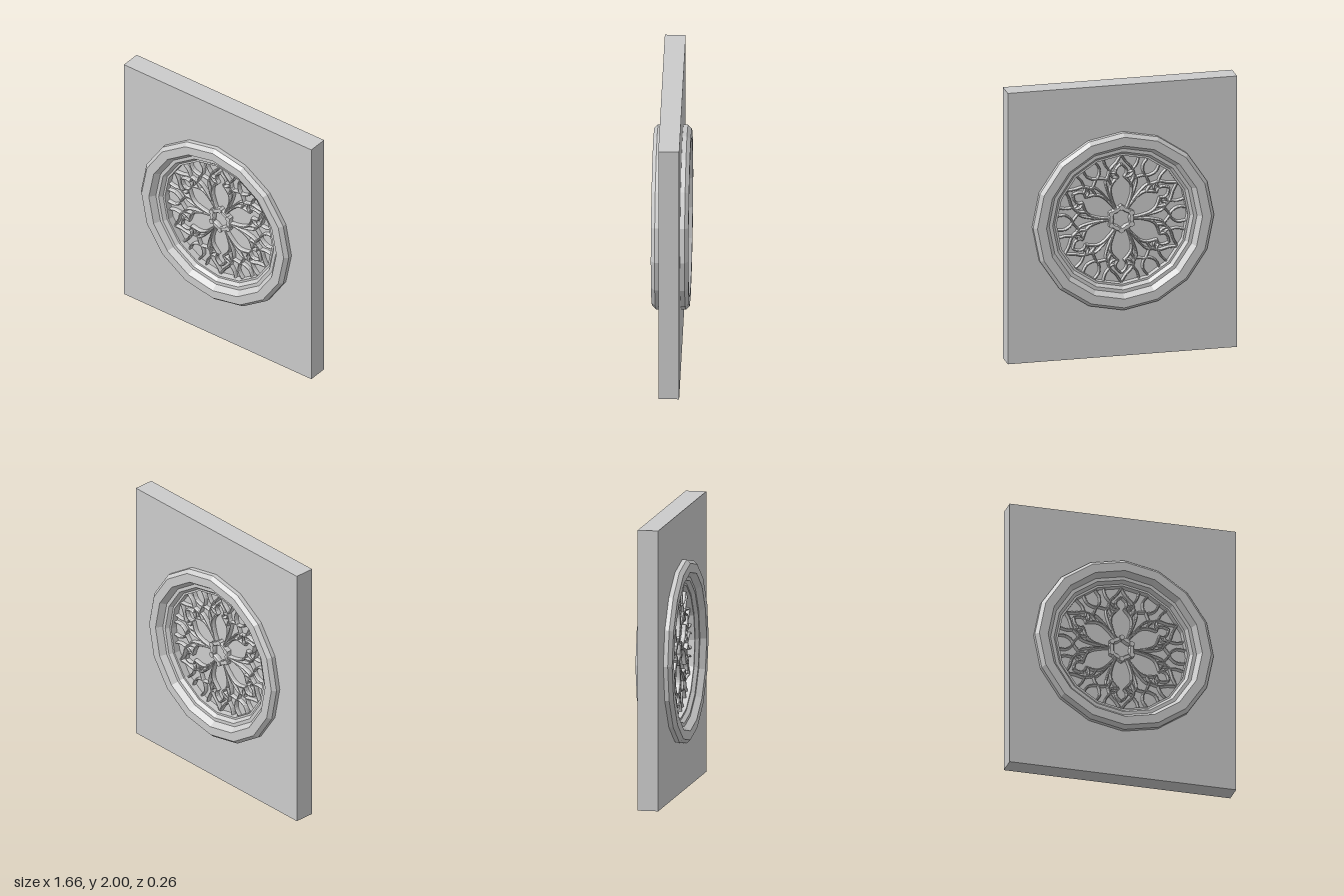
import * as THREE from 'three';

const SIDES = 16;
const CENTRE_Y = 1;
const stone = new THREE.MeshStandardMaterial({ color: 0xcccccc, flatShading: true });

function part(name, geometry, parent) {
  const mesh = new THREE.Mesh(geometry, stone);
  mesh.name = name;
  parent.add(mesh);
  return mesh;
}

// Corners of a regular polygon, starting at the top
function polygon(radius, sides, cusp = 1) {
  return Array.from({ length: sides }, (_, i) => {
    const a = Math.PI / 2 + (i / sides) * Math.PI * 2;
    const r = i % 2 ? radius * cusp : radius;
    return new THREE.Vector2(Math.cos(a) * r, Math.sin(a) * r);
  });
}

// Extrusion centred on z = 0 with bevelled front and back edges
function slab(shape, depth, bevel) {
  return new THREE.ExtrudeGeometry(shape, {
    depth: depth - 2 * bevel, bevelEnabled: bevel > 0, bevelThickness: bevel,
    bevelSize: bevel * 0.6, bevelOffset: -bevel * 0.6, bevelSegments: 1,
  }).translate(0, 0, bevel - depth / 2);
}

// Flat bar of stone that follows a smooth path
function rib(points, width, steps, depth = 0.09) {
  const path = new THREE.SplineCurve(points.map(([x, y]) => new THREE.Vector2(x, y)));
  const left = [], right = [];
  for (let i = 0; i <= steps; i++) {
    const p = path.getPoint(i / steps), t = path.getTangent(i / steps);
    const n = new THREE.Vector2(-t.y, t.x).multiplyScalar(width / 2);
    left.push(p.clone().add(n));
    right.push(p.clone().sub(n));
  }
  return slab(new THREE.Shape(right.concat(left.reverse())), depth, 0.008);
}

const polar = (r, degrees) => {
  const a = THREE.MathUtils.degToRad(90 - degrees);
  return [Math.cos(a) * r, Math.sin(a) * r];
};

export function createModel() {
  const model = new THREE.Group();
  model.name = 'roseWindowWall';

  // Wall with a round opening
  const outline = new THREE.Shape([
    new THREE.Vector2(-0.83, -1), new THREE.Vector2(0.83, -1),
    new THREE.Vector2(0.83, 1), new THREE.Vector2(-0.83, 1),
  ]);
  outline.holes.push(new THREE.Path(polygon(0.57, SIDES).reverse()));
  part('wall', slab(outline, 0.147, 0), model).position.y = CENTRE_Y;

  const windowGroup = new THREE.Group();
  windowGroup.name = 'roseWindow';
  windowGroup.position.y = CENTRE_Y;
  model.add(windowGroup);

  // Stepped rim, the same on both faces
  const face = [[0.655, 0.105], [0.63, 0.132], [0.565, 0.132], [0.535, 0.09],
    [0.51, 0.09], [0.49, 0.065], [0.475, 0.065]];
  const back = face.map(([r, z]) => [r, -z]).reverse();
  const profile = [...face, ...back, face[0]].map(([r, z]) => new THREE.Vector2(r, z));
  part('rim', new THREE.LatheGeometry(profile, SIDES).rotateX(Math.PI / 2), windowGroup);

  // Pane behind the tracery
  part('pane', slab(new THREE.Shape(polygon(0.5, SIDES)), 0.03, 0), windowGroup);

  // Hub ring with a star-shaped eye and a knob on each lobe
  const hub = new THREE.Shape(polygon(0.098, 12, 0.94));
  hub.holes.push(new THREE.Path(polygon(0.068, 12, 0.8).reverse()));
  part('hub', slab(hub, 0.1, 0.01), windowGroup);

  // Ribs of one petal's right half; the petal points up
  const ribs = [
    ['petalSide', [polar(0.085, 27), polar(0.14, 25.5), [0.078, 0.2], [0.068, 0.255], [0.022, 0.31]], 0.016, 12],
    ['petalHead', [[0.02, 0.308], [0.04, 0.335], [0.034, 0.37], [0, 0.402]], 0.014, 8],
    ['outerArch', [[0.068, 0.25], [0.093, 0.305], [0.08, 0.365], [0.035, 0.415], [0, 0.47]], 0.016, 12],
    ['archCusp', [[0.086, 0.35], [0.06, 0.338], [0.038, 0.345]], 0.012, 6],
    ['eyelet', [[0.03, 0.305], [0.062, 0.308], [0.088, 0.335]], 0.012, 6],
    ['branch', [polar(0.15, 27), polar(0.23, 25), polar(0.3, 22), polar(0.335, 16)], 0.013, 10],
    ['fanSide', [polar(0.35, 30), polar(0.37, 25.5), polar(0.415, 22.5), polar(0.472, 24)], 0.015, 8],
    ['fanLink', [polar(0.31, 18), polar(0.335, 25), polar(0.355, 30)], 0.015, 6],
    ['rimSpur', [[0.085, 0.36], [0.115, 0.4], [0.13, 0.455]], 0.014, 6],
  ].map(([name, points, width, steps]) => [
    name,
    rib(points, width, steps),
    rib(points.map(([x, y]) => [-x, y]), width, steps),
  ]);

  // Six petals around the hub
  for (let i = 0; i < 6; i++) {
    const petal = new THREE.Group();
    petal.name = 'petal' + (i + 1);
    petal.rotation.z = (i * Math.PI) / 3;
    windowGroup.add(petal);
    for (const [name, right, left] of ribs) {
      part(name + 'Right', right, petal);
      part(name + 'Left', left, petal);
    }
    part('hubKnob', new THREE.CylinderGeometry(0.02, 0.02, 0.11, 6)
      .rotateX(Math.PI / 2).translate(0, 0.084, 0), petal);
  }
  return model;
}
